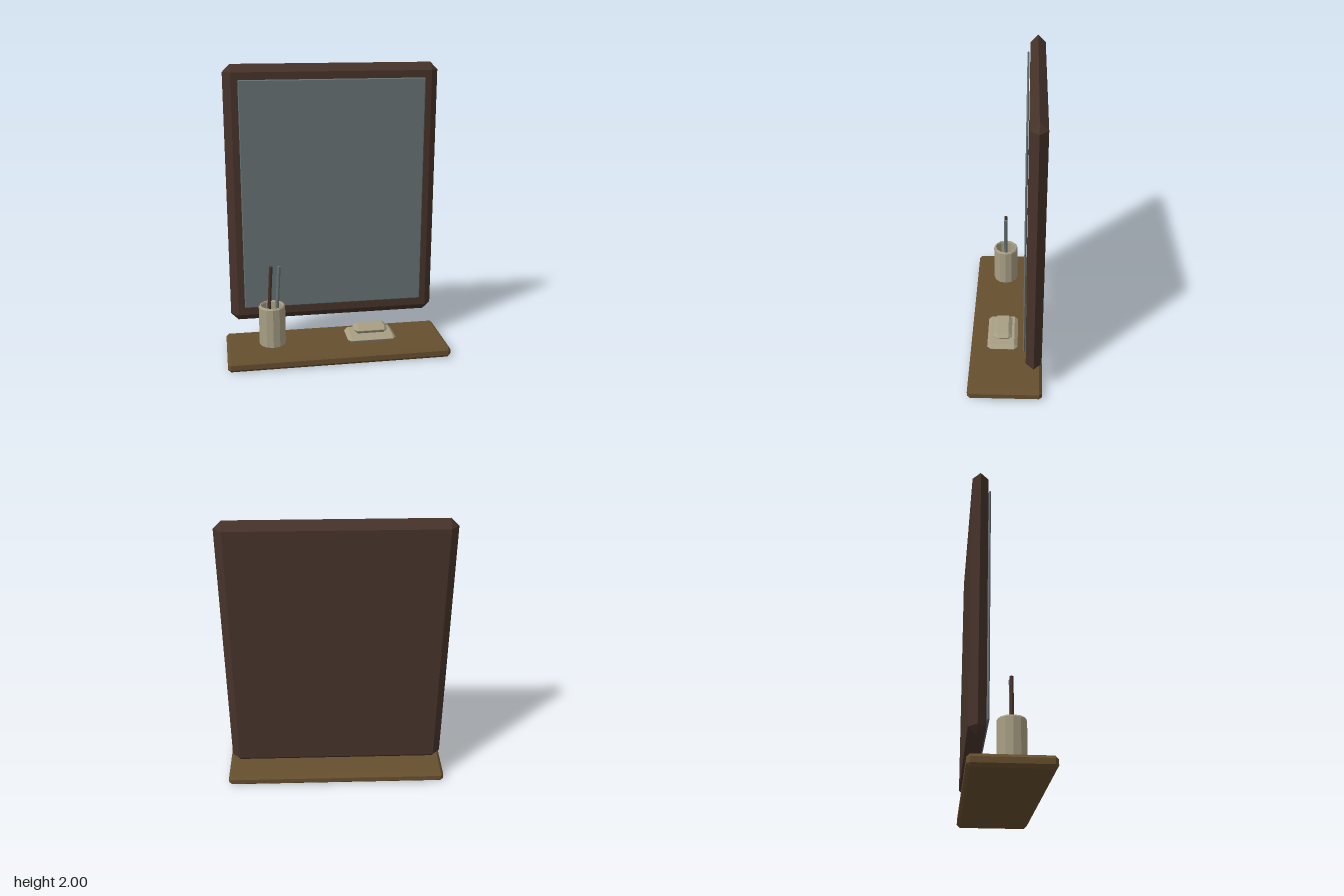
import * as THREE from 'three';
import { ConvexGeometry } from 'three/addons/geometries/ConvexGeometry.js';

const mat = (name, color) => {
  const m = new THREE.MeshStandardMaterial({ color });
  m.name = name;
  m.flatShading = true;
  return m;
};

// Box whose edges and corners are all cut off by the bevel b
function chamferBox(w, h, d, b) {
  const pts = [];
  for (const x of [-1, 1]) for (const y of [-1, 1]) for (const z of [-1, 1]) {
    const [X, Y, Z] = [w / 2, h / 2, d / 2];
    pts.push(new THREE.Vector3(x * X, y * (Y - b), z * (Z - b)));
    pts.push(new THREE.Vector3(x * (X - b), y * Y, z * (Z - b)));
    pts.push(new THREE.Vector3(x * (X - b), y * (Y - b), z * Z));
  }
  return new ConvexGeometry(pts);
}

export function createModel() {
  const model = new THREE.Group();
  model.name = 'mirrorShelf';

  const darkWood = mat('dark wood', 0x46332a);
  const shelfWood = mat('shelf wood', 0x664f2e);
  const glass = mat('grey glass', 0x667072);
  const ceramic = mat('cream ceramic', 0xa89f84);

  const add = (name, geometry, material, x, y, z, parent = model) => {
    const mesh = new THREE.Mesh(geometry, material);
    mesh.name = name;
    mesh.position.set(x, y, z);
    parent.add(mesh);
    return mesh;
  };

  // Shelf board
  add('shelf', chamferBox(1.54, 0.075, 0.5, 0.02), shelfWood, 0, 0.0375, 0);

  // Framed mirror
  add('mirrorFrame', chamferBox(1.46, 1.8, 0.104, 0.0515), darkWood, 0, 1.1, -0.19);
  add('mirrorGlass', chamferBox(1.265, 1.59, 0.014, 0.006), glass, 0, 1.105, -0.125);

  // Open cup
  const cup = new THREE.Group();
  cup.name = 'cup';
  cup.position.set(-0.453, 0.095, 0.026);
  model.add(cup);
  const profile = [
    [0, 0], [0.084, 0], [0.091, 0.008], [0.091, 0.28], [0.084, 0.29],
    [0.077, 0.29], [0.073, 0.28], [0.073, 0.02], [0, 0.02],
  ].map(([x, y]) => new THREE.Vector2(x, y));
  add('cupBody', new THREE.LatheGeometry(profile, 12), ceramic, 0, 0, 0, cup);

  // Two leaning sticks in the cup
  const stick = (name, material, x) => {
    const s = add(name, new THREE.CylinderGeometry(0.012, 0.012, 0.46, 8), material, x, 0.335, 0, cup);
    s.rotation.z = -0.058;
  };
  stick('darkStick', darkWood, -0.015);
  stick('greyStick', glass, 0.04);

  // Two-tier soap dish
  add('dishBase', chamferBox(0.34, 0.05, 0.212, 0.024), ceramic, 0.235, 0.12, 0.026);
  add('dishTop', chamferBox(0.236, 0.054, 0.13, 0.025), ceramic, 0.235, 0.172, 0.026);

  return model;
}
